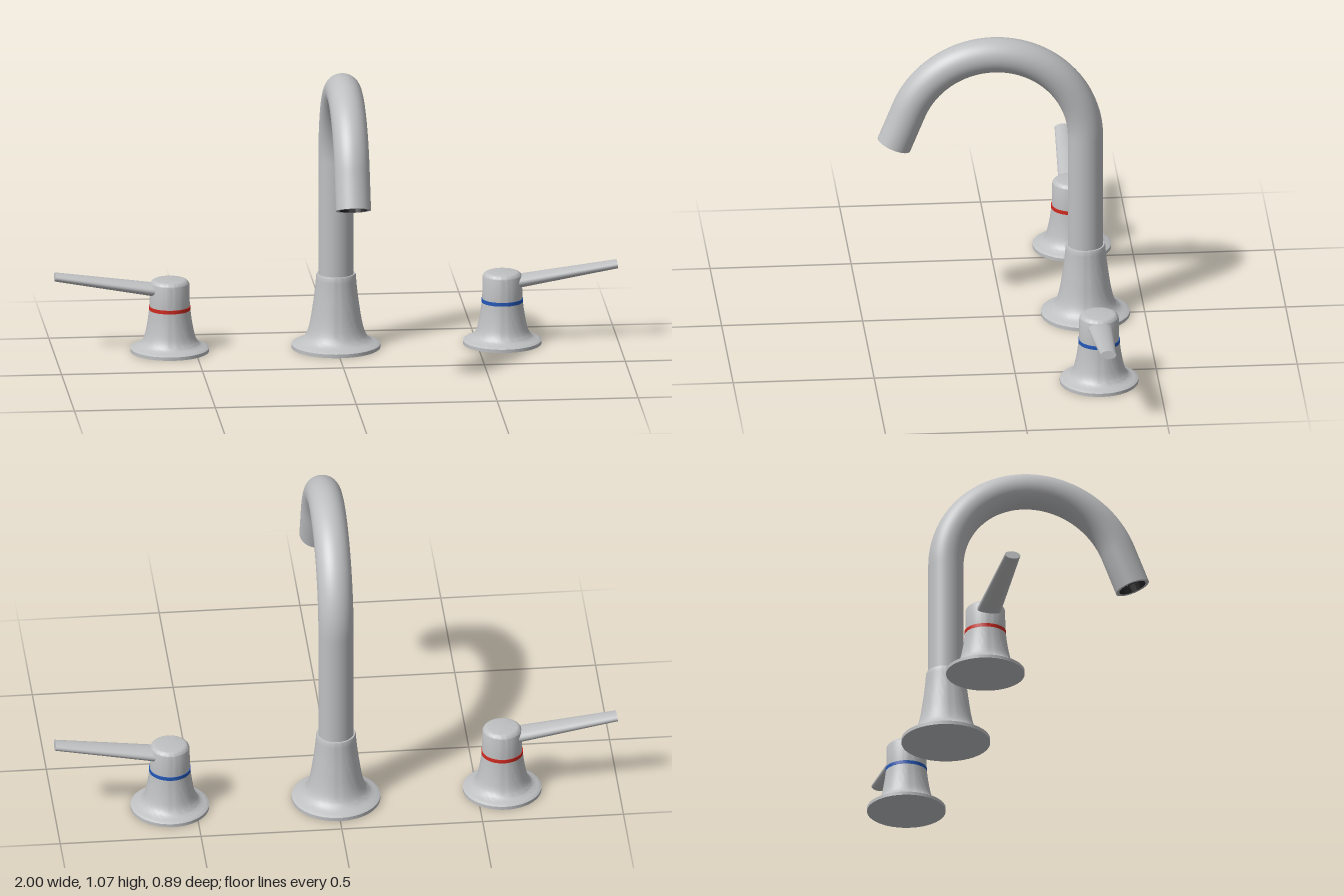
import * as THREE from 'three';
import { toCreasedNormals } from 'three/addons/utils/BufferGeometryUtils.js';

const AXIS_Z = -0.29;      // all three fittings stand on this line
const PIPE_R = 0.0625;

function material(name, color) {
  const m = new THREE.MeshStandardMaterial({ color });
  m.name = name;
  return m;
}

function mesh(name, geometry, mat) {
  const m = new THREE.Mesh(geometry, mat);
  m.name = name;
  return m;
}

// Turned part from [radius, height] pairs, listed bottom to top
function turned(points) {
  const g = new THREE.LatheGeometry(points.map(([r, y]) => new THREE.Vector2(r, y)), 64);
  return toCreasedNormals(g, 0.7);
}

// Smooth flare between a foot plate and a collar
function flare(points, count = 16) {
  const curve = new THREE.SplineCurve(points.map(([r, y]) => new THREE.Vector2(r, y)));
  return curve.getPoints(count).map((p) => [p.x, p.y]);
}

// Circular bend in the yz plane, from the riser over to the outlet
class Bend extends THREE.Curve {
  constructor(cy, cz, radius, sweep) {
    super();
    Object.assign(this, { cy, cz, radius, sweep });
  }
  getPoint(t, target = new THREE.Vector3()) {
    const a = t * this.sweep;
    return target.set(0, this.cy + this.radius * Math.sin(a), this.cz - this.radius * Math.cos(a));
  }
}

function createSpout(metal, dark) {
  const spout = new THREE.Group();
  spout.name = 'spout';

  // Flared foot with a collar
  const foot = mesh('spoutBase', turned([
    [0, 0], [0.157, 0], [0.157, 0.013],
    ...flare([[0.15, 0.017], [0.122, 0.029], [0.104, 0.052], [0.092, 0.095], [0.083, 0.15], [0.075, 0.21], [0.07, 0.265]]),
    [0.068, 0.27], [0.05, 0.27],
  ]), metal);
  foot.position.z = AXIS_Z;

  // Gooseneck pipe: riser, bend, short straight end
  const tilt = THREE.MathUtils.degToRad(22);
  const bend = new Bend(0.687, 0.035, 0.325, Math.PI - tilt);
  const bendEnd = bend.getPoint(1);
  const outward = new THREE.Vector3(0, -Math.cos(tilt), Math.sin(tilt));
  const tip = bendEnd.clone().addScaledVector(outward, 0.14);
  const path = new THREE.CurvePath();
  path.add(new THREE.LineCurve3(new THREE.Vector3(0, 0.22, AXIS_Z), bend.getPoint(0)));
  path.add(bend);
  path.add(new THREE.LineCurve3(bendEnd, tip));
  const pipe = mesh('goosenecPipe'.replace('necP', 'neckP'), new THREE.TubeGeometry(path, 110, PIPE_R, 40), metal);

  // Open outlet with a rim and a recessed dark insert
  const outlet = new THREE.Group();
  outlet.name = 'outlet';
  outlet.position.copy(tip);
  outlet.rotation.x = Math.PI - tilt;
  const insert = new THREE.CircleGeometry(0.05, 40).rotateX(-Math.PI / 2).translate(0, -0.03, 0);
  outlet.add(
    mesh('outletRim', turned([[PIPE_R, 0], [0.05, 0]]), metal),
    mesh('outletLining', turned([[0.05, 0], [0.05, -0.03]]), dark),
    mesh('outletInsert', insert, dark),
  );

  spout.add(foot, pipe, outlet);
  return spout;
}

// One valve handle; side is +1 or -1 along x
function createHandle(name, side, metal, bandMaterial) {
  const handle = new THREE.Group();
  handle.name = name;
  handle.position.set(0.59 * side, 0, AXIS_Z);

  const base = mesh('handleBase', turned([
    [0, 0], [0.139, 0], [0.139, 0.012],
    ...flare([[0.133, 0.016], [0.108, 0.026], [0.093, 0.047], [0.084, 0.08], [0.077, 0.12], [0.073, 0.153]]),
    [0, 0.153],
  ]), metal);

  const band = mesh('temperatureBand', turned([
    [0, 0.152], [0.0735, 0.152], [0.0735, 0.165], [0, 0.165],
  ]), bandMaterial);

  // Turning cap with a rounded top edge
  const rounded = [];
  for (let i = 0; i <= 6; i++) {
    const a = (i / 6) * Math.PI / 2;
    rounded.push([0.05 + 0.02 * Math.cos(a), 0.241 + 0.02 * Math.sin(a)]);
  }
  const cap = mesh('handleCap', turned([[0, 0.164], [0.071, 0.164], ...rounded, [0, 0.261]]), metal);

  // Flattened, tapering lever that rises outward
  const start = new THREE.Vector2(0.03, 0.222);
  const end = new THREE.Vector2(0.408, 0.28);
  const along = end.clone().sub(start);
  const shape = new THREE.CylinderGeometry(0.028, 0.044, along.length(), 40)
    .scale(0.54, 1, 1)
    .rotateZ(along.angle() - Math.PI / 2);
  const lever = mesh('lever', shape, metal);
  lever.position.set((start.x + end.x) / 2, (start.y + end.y) / 2, 0);

  handle.add(base, band, cap, lever);
  if (side < 0) handle.rotation.y = Math.PI;
  return handle;
}

export function createModel() {
  const metal = material('brushedMetal', 0xbfc0c2);
  const dark = material('outletDark', 0x1c1c1e);
  const red = material('hotRed', 0xd02a20);
  const blue = material('coldBlue', 0x2458b8);

  const faucet = new THREE.Group();
  faucet.name = 'faucet';
  faucet.add(
    createSpout(metal, dark),
    createHandle('coldHandle', 1, metal, blue),
    createHandle('hotHandle', -1, metal, red),
  );
  return faucet;
}
